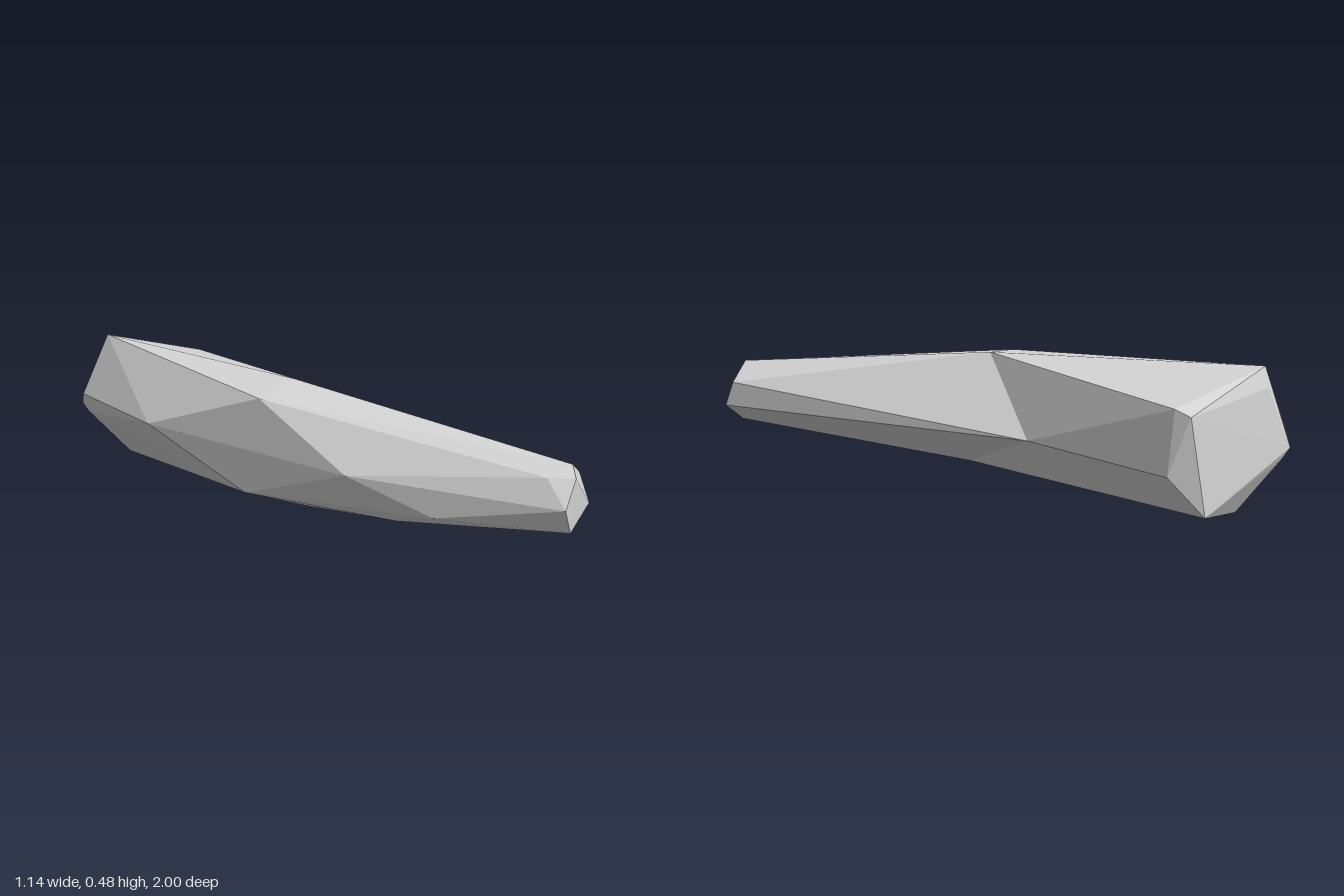
import * as THREE from 'three';

// Corner points of the bent, faceted stone, named by place.
const P = {
  // back end: outer bevel ring, then flat end face
  backTopR: [-0.07, 0.38, -0.95], backTopL: [-0.46, 0.477, -0.94],
  backLeft: [-0.57, 0.245, -0.94], backLow: [-0.55, 0.17, -0.945],
  backBottom: [-0.40, 0, -0.89], backFoot: [-0.16, 0.04, -1.0],
  backRight: [-0.055, 0.17, -0.94],
  endTopR: [-0.09, 0.36, -1.0], endTopL: [-0.455, 0.41, -0.96], endLeft: [-0.57, 0.205, -0.957],
  // bend
  midTopR: [-0.04, 0.45, -0.03], midTopL: [-0.235, 0.43, 0.10],
  midLeft: [-0.48, 0.25, -0.38], midLow: [-0.27, 0.085, 0.05],
  midBottom: [-0.06, 0.027, 0.12], midRight: [0.01, 0.185, -0.32],
  foreLeft: [-0.085, 0.24, 0.46], foreLow: [0.12, 0.135, 0.68], foreBottom: [0.07, 0.085, 0.53],
  // narrow front tip
  tipTop: [0.455, 0.345, 0.94], tipTopL: [0.37, 0.31, 0.93], tipLeft: [0.395, 0.22, 1.0],
  tipLow: [0.435, 0.135, 0.975], tipBottom: [0.48, 0.118, 0.92],
  tipRight: [0.57, 0.187, 0.88], tipTopR: [0.555, 0.28, 0.84], tipFace: [0.445, 0.31, 0.975],
};

// Cross-sections from back to front, eight points each; repeated points close up to triangles.
const rings = [
  'endTopR endTopL endLeft endLeft backFoot backFoot backRight backRight',
  'backTopR backTopL backLeft backLow backBottom backFoot backRight backRight',
  'midTopR midTopL midLeft midLow midBottom midBottom midRight midRight',
  'midTopR midTopL foreLeft foreLow foreBottom midBottom midRight midRight',
  'tipTop tipTopL tipLeft tipLow tipBottom tipBottom tipRight tipTopR',
  'tipFace tipFace tipLeft tipLow tipLow tipLow tipRight tipTopR',
].map((names) => names.split(' ').map((n) => new THREE.Vector3(...P[n])));

function loftGeometry() {
  const pos = [];
  const normal = (a, b, c) => b.clone().sub(a).cross(c.clone().sub(a));
  const tri = (a, b, c) => {
    if (normal(a, b, c).length() > 1e-7) for (const v of [a, b, c]) pos.push(v.x, v.y, v.z);
  };
  // Skin between neighbouring rings, folding each quad outward
  for (let i = 0; i < rings.length - 1; i++) {
    for (let j = 0; j < 8; j++) {
      const k = (j + 1) % 8;
      const a = rings[i][j], b = rings[i][k], c = rings[i + 1][j], d = rings[i + 1][k];
      if (normal(a, b, c).dot(d.clone().sub(a)) > 1e-9) {
        tri(a, b, d);
        tri(a, d, c);
      } else {
        tri(a, b, c);
        tri(b, d, c);
      }
    }
  }
  // End faces
  const back = rings[0], front = rings[rings.length - 1];
  for (let j = 1; j < 7; j++) {
    tri(back[0], back[j + 1], back[j]);
    tri(front[0], front[j], front[j + 1]);
  }
  const geo = new THREE.BufferGeometry();
  geo.setAttribute('position', new THREE.Float32BufferAttribute(pos, 3));
  geo.computeVertexNormals();
  return geo;
}

export function createModel() {
  const stoneGrey = new THREE.MeshStandardMaterial({ color: 0xd5d5d5, flatShading: true });
  stoneGrey.name = 'stoneGrey';
  const stone = new THREE.Mesh(loftGeometry(), stoneGrey);
  stone.name = 'bentStone';
  const group = new THREE.Group();
  group.name = 'longRock';
  group.add(stone);
  return group;
}
